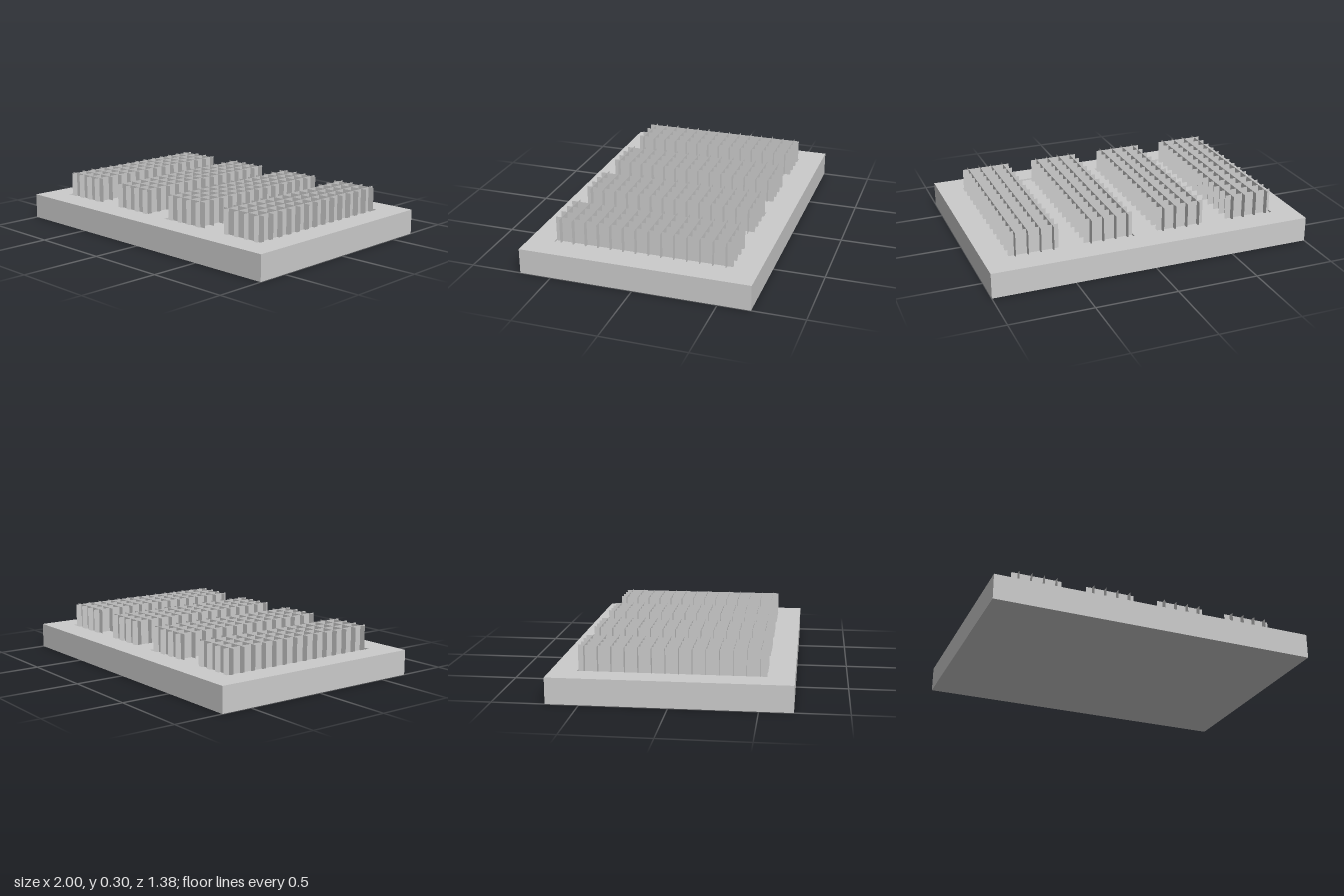
import * as THREE from 'three';

const T = 2 / 13;          // one tile: the field is 13 x 9 tiles, one tile high
const SOIL = T * 15 / 16;  // beds lie slightly below the rim

export function createModel() {
  const group = new THREE.Group();
  const solid = new THREE.MeshStandardMaterial({ color: 0xcccccc, flatShading: true });
  const leaf = new THREE.MeshStandardMaterial({ color: 0xcccccc, side: THREE.DoubleSide });

  const add = (parent, name, geometry, material, x, y, z) => {
    const mesh = new THREE.Mesh(geometry, material);
    mesh.name = name;
    mesh.position.set(x, y, z);
    parent.add(mesh);
    return mesh;
  };

  // Rectangle outline centred on (cx, 0)
  const rect = (Type, cx, w, h) => new Type([
    new THREE.Vector2(cx - w / 2, -h / 2), new THREE.Vector2(cx + w / 2, -h / 2),
    new THREE.Vector2(cx + w / 2, h / 2), new THREE.Vector2(cx - w / 2, h / 2),
  ]);

  // Ground slab; its top is the floor of both beds
  add(group, 'groundSlab', new THREE.BoxGeometry(13 * T, SOIL, 9 * T), solid, 0, SOIL / 2, 0);

  // Raised rim with two sunken beds of 5 x 7 tiles
  const rim = rect(THREE.Shape, 0, 13 * T, 9 * T);
  for (const side of [-1, 1]) rim.holes.push(rect(THREE.Path, side * 3 * T, 5 * T, 7 * T));
  const rimGeometry = new THREE.ExtrudeGeometry(rim, { depth: T - SOIL, bevelEnabled: false });
  rimGeometry.rotateX(-Math.PI / 2);
  add(group, 'groundRim', rimGeometry, solid, 0, SOIL, 0);

  // Crop strips, 2 x 7 tiles: thin crossing sheets at 1/4 and 3/4 of every tile
  const lengthwise = new THREE.PlaneGeometry(7 * T, T).rotateY(Math.PI / 2);
  const crosswise = new THREE.PlaneGeometry(2 * T, T);
  for (const cx of [-4.5, -1.5, 1.5, 4.5]) {
    const strip = new THREE.Group();
    strip.name = 'cropStrip';
    strip.position.set(cx * T, SOIL + T / 2, 0);
    for (let i = 0; i < 4; i++) add(strip, 'lengthwiseLeaves', lengthwise, leaf, (i / 2 - 0.75) * T, 0, 0);
    for (let i = 0; i < 14; i++) add(strip, 'crosswiseLeaves', crosswise, leaf, 0, 0, (i / 2 - 3.25) * T);
    group.add(strip);
  }
  return group;
}
